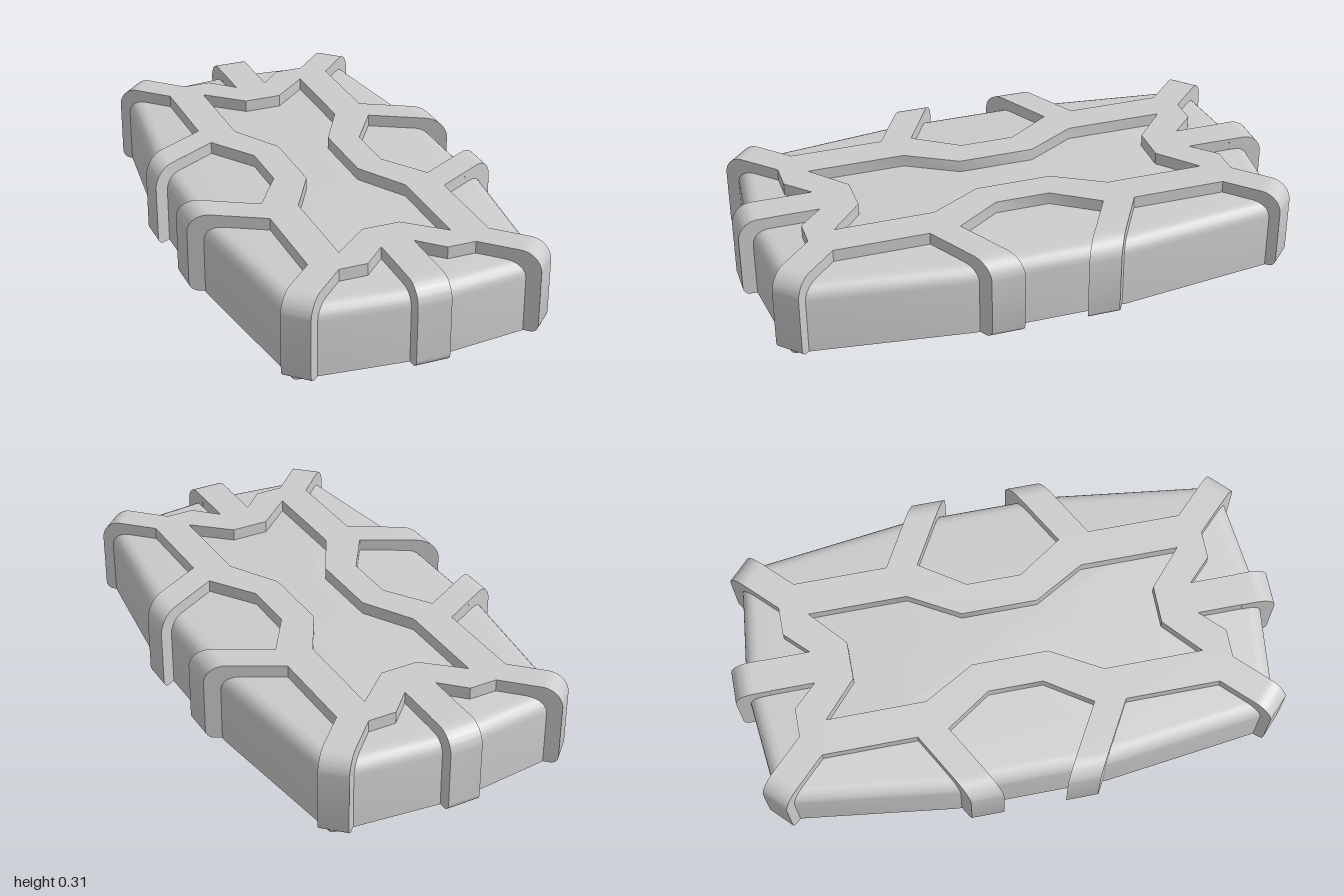
import * as THREE from 'three';
import { toCreasedNormals } from 'three/addons/utils/BufferGeometryUtils.js';

const TOP = 0.305;
const material = new THREE.MeshStandardMaterial({ color: 0xcccccc });

function addMesh(parent, name, geometry) {
  const mesh = new THREE.Mesh(toCreasedNormals(geometry, 0.6), material);
  mesh.name = name;
  parent.add(mesh);
}

// Mirrors the points of one quadrant into a full closed loop.
function fourWay(points) {
  const back = [...points].reverse();
  const flip = (list, sx, sz) => list.map(([x, z]) => new THREE.Vector2(x * sx, z * sz));
  return [...flip(points, 1, 1), ...flip(back, -1, 1), ...flip(points, -1, -1), ...flip(back, 1, -1)];
}

// Skins closed loops of equal length and caps both ends.
function loft(loops) {
  const n = loops[0].length, pos = [], index = [];
  loops.forEach((loop) => loop.forEach((p) => pos.push(...p)));
  for (let k = 0; k < loops.length - 1; k++) {
    for (let i = 0; i < n; i++) {
      const a = k * n + i, b = k * n + (i + 1) % n;
      index.push(a, a + n, b, b, a + n, b + n);
    }
  }
  const last = (loops.length - 1) * n, c = pos.length / 3;
  pos.push(0, loops[0][0][1], 0, 0, loops[loops.length - 1][0][1], 0);
  for (let i = 0; i < n; i++) {
    const j = (i + 1) % n;
    index.push(c, i, j, c + 1, last + j, last + i);
  }
  const g = new THREE.BufferGeometry();
  g.setAttribute('position', new THREE.Float32BufferAttribute(pos, 3));
  g.setIndex(index);
  return g;
}

// Hollow body: cavity ceiling, cavity wall, rim, outer wall, rounded top edge.
function bodyGeometry() {
  const ring = (side, cx, cz, end, r) => {
    const corner = [0, 1 / 3, 2 / 3, 1].map((t) => [cx - r * t * t, cz - r * (1 - t) * (1 - t)]);
    return fourWay([[side, 0.28], ...corner, [0.03, end]]);
  };
  const outer = ring(0.534, 0.456, 0.91, 0.953, 0.02);
  const inner = ring(0.425, 0.425, 0.875, 0.875, 0.045);
  const level = (outline, inset, y, hx, hz) =>
    outline.map((p) => [p.x * (1 - inset / hx), y, p.y * (1 - inset / hz)]);
  const loops = [], steps = 5;
  for (let i = 0; i <= steps; i++) {
    const a = (i / steps) * Math.PI / 2, r = 0.035;
    loops.push(level(inner, 0.01 + r * (1 - Math.sin(a)), 0.195 + r * Math.cos(a), 0.425, 0.875));
  }
  loops.push(level(inner, 0, 0, 0.425, 0.875), level(outer, 0, 0, 0.534, 0.953));
  for (let i = 0; i <= steps; i++) {
    const a = (i / steps) * Math.PI / 2, r = 0.055;
    loops.push(level(outer, r * (1 - Math.cos(a)), 0.205 + r * Math.sin(a), 0.534, 0.953));
  }
  return loft(loops);
}

// Raised web over the top with an hourglass opening.
function webGeometry() {
  const shape = new THREE.Shape(fourWay([
    [0.21, 0.1], [0.32, 0.265], [0.445, 0.194], [0.445, 0.314], [0.331, 0.3785], [0.331, 0.722],
    [0.4183, 0.8093], [0.3423, 0.8833], [0.249, 0.79], [0.145, 0.79], [0.06, 0.705], [0.06, 0.87],
  ]));
  shape.holes.push(new THREE.Path(fourWay([[0.1, 0.14], [0.205, 0.325], [0.205, 0.687], [0.07, 0.567]])));
  return new THREE.ExtrudeGeometry(shape, { depth: TOP - 0.24, bevelEnabled: false })
    .rotateX(-Math.PI / 2).translate(0, 0.24, 0);
}

// Strap end that bends over the edge and runs down the wall.
// a, b: outer corners in plan; dir: outward run; length: run; depth: thickness on the wall.
function strapGeometry(a, b, dir, length, depth, sx, sz) {
  const r = 0.075, f = 0.028;
  const s = new THREE.Shape();
  s.moveTo(0, 0.235);
  s.lineTo(length - depth, 0.21);
  s.lineTo(length - depth, 0.001);
  s.lineTo(length - f, 0.001);
  s.absarc(length - f, 0.001 + f, f, -Math.PI / 2, 0, false);
  s.lineTo(length, TOP - r);
  s.absarc(length - r, TOP - r, r, 0, Math.PI / 2, false);
  s.lineTo(0, TOP);
  const g = new THREE.ExtrudeGeometry(s, { depth: 1, bevelEnabled: false, curveSegments: 8 });

  // Shear the unit-deep extrusion onto the strap's footprint.
  let [p, q] = [a, b].map(([x, z]) => [x * sx, z * sz]);
  const d = [dir[0] * sx, dir[1] * sz];
  if (d[0] * (q[1] - p[1]) - d[1] * (q[0] - p[0]) < 0) [p, q] = [q, p];
  return g.applyMatrix4(new THREE.Matrix4().set(
    d[0], 0, q[0] - p[0], p[0] - d[0] * length,
    0, 1, 0, 0,
    d[1], 0, q[1] - p[1], p[1] - d[1] * length,
    0, 0, 0, 1,
  ));
}

export function createModel() {
  const model = new THREE.Group();
  model.name = 'ribbedCover';
  addMesh(model, 'hollowBody', bodyGeometry());
  addMesh(model, 'raisedWeb', webGeometry());

  for (const sz of [1, -1]) {
    const end = sz > 0 ? 'front' : 'back';
    addMesh(model, `${end}EndStrap`,
      strapGeometry([0.061, 1], [-0.061, 1], [0, 1], 0.13, 0.08, 1, sz));
    for (const sx of [1, -1]) {
      const side = sx > 0 ? 'Left' : 'Right';
      addMesh(model, `${end}${side}SideStrap`,
        strapGeometry([0.585, 0.115], [0.585, 0.235], [1, -0.566], 0.14, 0.08, sx, sz));
      addMesh(model, `${end}${side}CornerStrap`,
        strapGeometry([0.489, 0.88], [0.413, 0.954], [Math.SQRT1_2, Math.SQRT1_2], 0.1, 0.058, sx, sz));
    }
  }
  return model;
}
